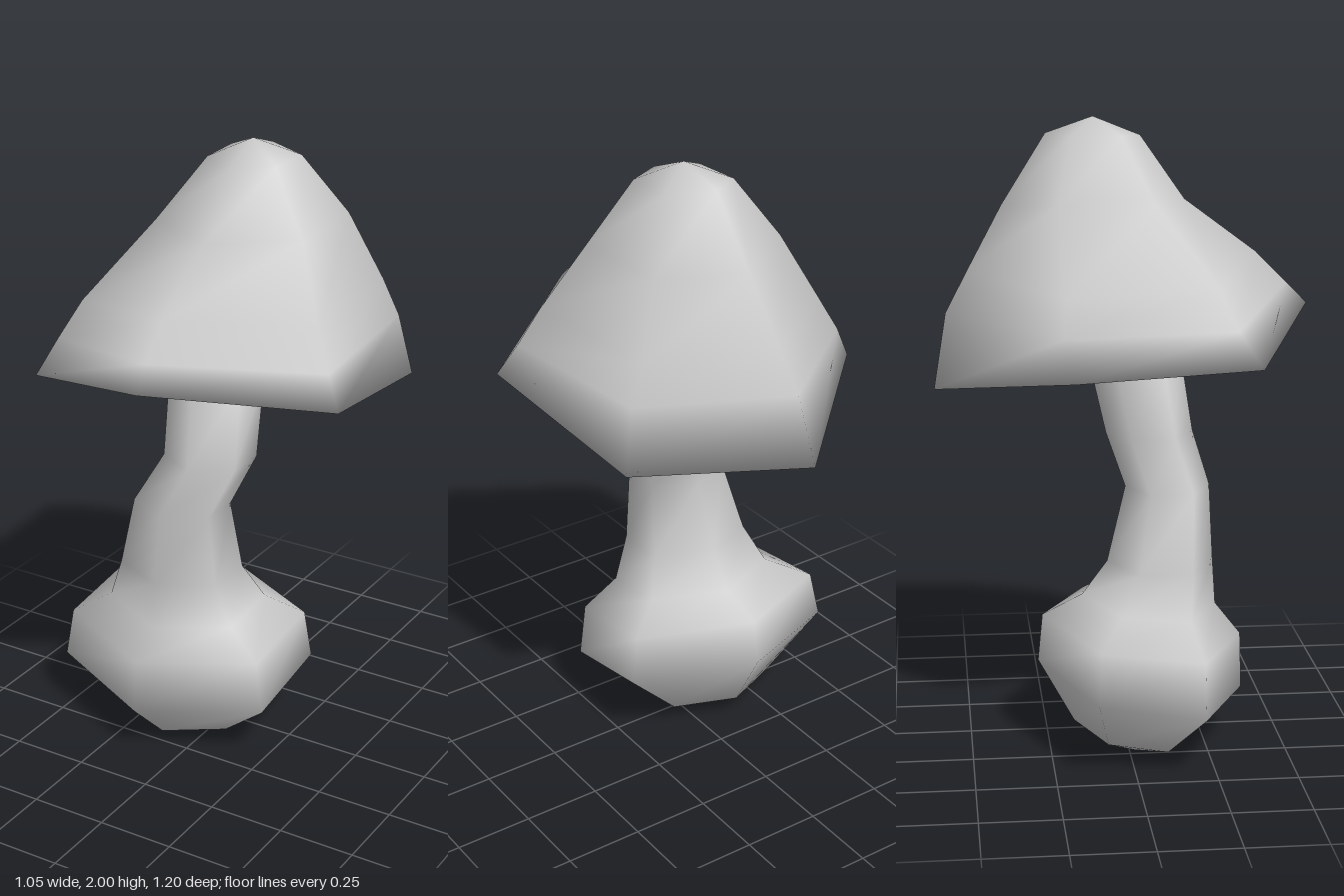
import * as THREE from 'three';

const SIDES = 6;

// Skins a stack of rings (bottom to top), closed by a pole point at each end.
function loft(name, bottom, rings, top) {
  const points = [bottom, ...rings.flat(), top];
  const last = points.length - 1;
  const at = (r, i) => 1 + r * SIDES + (i % SIDES);
  const index = [];
  for (let i = 0; i < SIDES; i++) {
    index.push(0, at(0, i + 1), at(0, i));
    for (let r = 0; r < rings.length - 1; r++) {
      index.push(at(r, i), at(r, i + 1), at(r + 1, i + 1));
      index.push(at(r, i), at(r + 1, i + 1), at(r + 1, i));
    }
    index.push(last, at(rings.length - 1, i), at(rings.length - 1, i + 1));
  }
  const geometry = new THREE.BufferGeometry();
  geometry.setAttribute('position', new THREE.Float32BufferAttribute(points.flat(), 3));
  geometry.setIndex(index);
  geometry.computeVertexNormals();
  const mesh = new THREE.Mesh(geometry, new THREE.MeshStandardMaterial({ color: 0xcccccc }));
  mesh.name = name;
  return mesh;
}

// Six-sided ring from its half widths, with a front-to-back tilt.
function ring([y, cx, rx, cz, rz, tilt = 0]) {
  return Array.from({ length: SIDES }, (_, i) => {
    const t = (i / SIDES) * Math.PI * 2;
    const z = rz * Math.cos(t);
    return [cx + (rx / Math.cos(Math.PI / 6)) * Math.sin(t), y + tilt * z, cz + z];
  });
}

export function createModel() {
  const group = new THREE.Group();
  group.name = 'mushroom';

  // Bent stem growing out of a fat bulb: y, centre x, half width, centre z, half depth, tilt
  const stemRings = [
    [0.0, -0.12, 0.1, 0.065, 0.095],
    [0.04, -0.12, 0.19, 0.02, 0.19, -0.17],
    [0.225, -0.12, 0.383, 0.045, 0.33, -0.17],
    [0.39, -0.115, 0.355, 0.05, 0.32, -0.13],
    [0.47, -0.1, 0.232, 0.075, 0.215, -0.1],
    [0.6, -0.1, 0.18, 0.11, 0.17],
    [0.84, -0.08, 0.14, 0.135, 0.135],
    [1.0, -0.005, 0.13, 0.085, 0.14],
    [1.26, -0.01, 0.13, 0.035, 0.145, 0.15],
  ].map(ring);
  group.add(loft('stem', [-0.12, 0, 0.065], stemRings, [-0.01, 1.28, 0.035]));

  // Lopsided cap; each ring runs front, front left, back left, back, back right, front right
  const capRings = [
    // rim
    [[0.06, 1.4, 0.6], [0.525, 1.31, 0.23], [0.46, 1.21, -0.4],
      [-0.08, 1.165, -0.6], [-0.525, 1.26, -0.19], [-0.46, 1.28, 0.38]],
    // lower edge
    [[0.045, 1.47, 0.53], [0.47, 1.41, 0.19], [0.42, 1.41, -0.37],
      [-0.04, 1.4, -0.56], [-0.455, 1.38, -0.22], [-0.42, 1.39, 0.31]],
    // flank
    [[0.04, 1.57, 0.43], [0.41, 1.53, 0.15], [0.37, 1.53, -0.35],
      [-0.02, 1.53, -0.49], [-0.39, 1.49, -0.21], [-0.36, 1.51, 0.26]],
    // shoulder
    [[0.04, 1.74, 0.2], [0.3, 1.75, 0.05], [0.28, 1.75, -0.28],
      [0.01, 1.73, -0.38], [-0.22, 1.75, -0.22], [-0.2, 1.75, 0.08]],
    // crown
    [[0.05, 1.94, 0.06], [0.17, 1.945, -0.01], [0.17, 1.945, -0.17],
      [0.03, 1.95, -0.24], [-0.08, 1.945, -0.17], [-0.07, 1.945, -0.01]],
  ];
  group.add(loft('cap', [0, 1.235, 0.03], capRings, [0.045, 2, -0.09]));

  return group;
}
